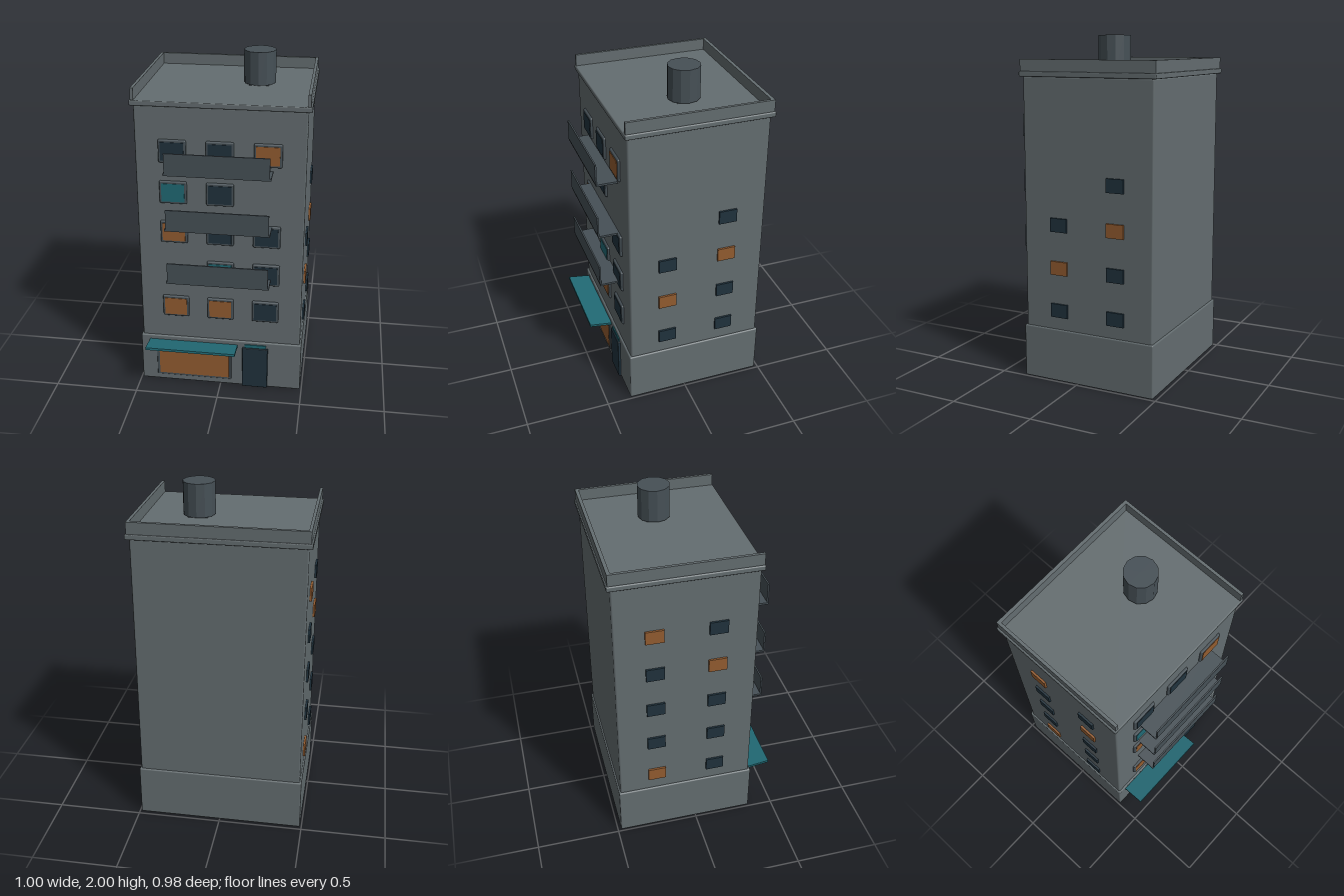
import * as THREE from 'three';
import { RoundedBoxGeometry } from 'three/addons/geometries/RoundedBoxGeometry.js';

const mat = (color) => new THREE.MeshStandardMaterial({ color });

export function createModel() {
  const group = new THREE.Group();
  const wall = mat(0x646d70), trim = mat(0x465056);
  const dark = mat(0x20323d), orange = mat(0x935c30), teal = mat(0x216a75);
  const glass = { d: dark, o: orange, t: teal };

  // Box given by its min and max corners, with an optional bevel
  function box(name, material, [x0, y0, z0], [x1, y1, z1], bevel = 0) {
    const size = [x1 - x0, y1 - y0, z1 - z0];
    const geometry = bevel
      ? new RoundedBoxGeometry(...size, 1, bevel)
      : new THREE.BoxGeometry(...size);
    const mesh = new THREE.Mesh(geometry, material);
    mesh.name = name;
    mesh.position.set((x0 + x1) / 2, (y0 + y1) / 2, (z0 + z1) / 2);
    group.add(mesh);
    return mesh;
  }

  // Main masses
  box('groundFloor', wall, [-0.49, 0, -0.48], [0.49, 0.315, 0.352], 0.008);
  box('upperFloors', wall, [-0.48, 0.3, -0.47], [0.48, 1.772, 0.34], 0.01);
  box('cornice', wall, [-0.5, 1.77, -0.49], [0.5, 1.8, 0.355], 0.006);

  // Parapet on the back and both sides, open at the front
  box('backParapet', wall, [-0.49, 1.795, -0.483], [0.49, 1.867, -0.463]);
  for (const s of [-1, 1]) {
    const x = s * 0.4825;
    box('sideParapet', wall, [x - 0.0085, 1.795, -0.483], [x + 0.0085, 1.867, 0.35]);
  }

  // Water tank on short feet
  const tank = new THREE.Mesh(new THREE.CylinderGeometry(0.093, 0.093, 0.19, 12), trim.clone());
  tank.material.flatShading = true;
  tank.name = 'roofTank';
  tank.position.set(0.172, 1.905, -0.085);
  group.add(tank);
  for (const sx of [-1, 1]) {
    for (const sz of [-1, 1]) {
      const x = 0.172 + sx * 0.048, z = -0.085 + sz * 0.048;
      box('tankFoot', trim, [x - 0.008, 1.795, z - 0.008], [x + 0.008, 1.815, z + 0.008]);
    }
  }

  // Front windows from the bottom row up; '-' marks a blank bay
  ['ood', '-td', 'odd', 'td-', 'ddo'].forEach((row, r) => {
    [...row].forEach((kind, c) => {
      if (kind === '-') return;
      const x = (c - 1) * 0.268, y = 0.53 + r * 0.246;
      box('windowFrame', trim, [x - 0.079, y - 0.068, 0.33], [x + 0.079, y + 0.068, 0.353], 0.008);
      box('windowGlass', glass[kind], [x - 0.066, y - 0.054, 0.335], [x + 0.066, y + 0.054, 0.356]);
    });
  });

  // Side windows: two columns on each side, listed from the bottom up
  const columns = [
    [1, 0.115, 'dod'], [1, -0.243, 'ddod'],
    [-1, 0.115, 'dddod'], [-1, -0.243, 'odddo'],
  ];
  for (const [side, z, kinds] of columns) {
    [...kinds].forEach((kind, r) => {
      const x = side * 0.48, y = 0.43 + r * 0.253;
      box('sideWindow', glass[kind], [x - 0.012, y - 0.04, z - 0.053], [x + 0.012, y + 0.04, z + 0.053]);
    });
  }

  // Balconies: a thin slab with a front panel
  for (let i = 0; i < 3; i++) {
    const y = 0.742 + i * 0.335;
    box('balconySlab', trim, [-0.3, y, 0.335], [0.297, y + 0.012, 0.462]);
    box('balconyPanel', trim, [-0.293, y + 0.01, 0.455], [0.29, y + 0.13, 0.464]);
  }

  // Shop front
  box('shopWindowFrame', trim, [-0.395, 0.037, 0.34], [0.067, 0.265, 0.357], 0.005);
  box('shopWindowGlass', orange, [-0.378, 0.052, 0.345], [0.052, 0.254, 0.36]);
  const awning = box('awning', teal, [-0.435, 0.284, 0.35], [0.105, 0.298, 0.49]);
  awning.rotation.x = -0.14;

  // Entrance
  box('door', dark, [0.135, 0.003, 0.34], [0.29, 0.277, 0.367], 0.004);
  box('doorTransom', teal, [0.147, 0.274, 0.345], [0.277, 0.297, 0.358]);

  return group;
}
